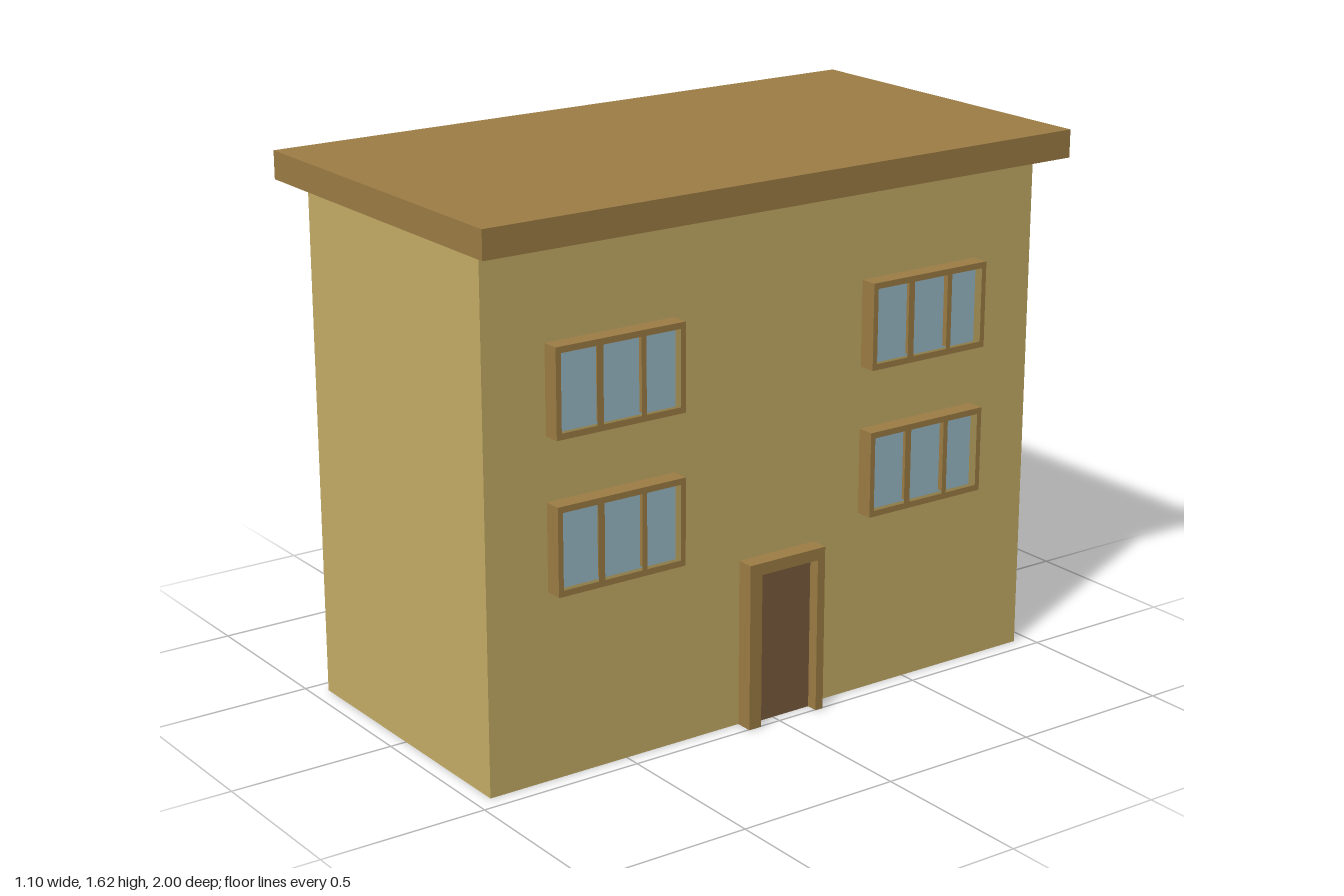
import * as THREE from 'three';

const mat = (name, color) => {
  const m = new THREE.MeshStandardMaterial({ color });
  m.name = name;
  return m;
};

export function createModel() {
  const wall = mat('sand wall', 0xc8b068);
  const trim = mat('brown trim', 0x9f7e45);
  const glass = mat('pale blue glass', 0x9bbdca);
  const wood = mat('dark door wood', 0x7b5c3d);

  const house = new THREE.Group();
  house.name = 'house';

  // box given by its limits on each axis
  const box = (parent, name, material, [x0, x1], [y0, y1], [z0, z1]) => {
    const mesh = new THREE.Mesh(new THREE.BoxGeometry(x1 - x0, y1 - y0, z1 - z0), material);
    mesh.position.set((x0 + x1) / 2, (y0 + y1) / 2, (z0 + z1) / 2);
    mesh.name = name;
    parent.add(mesh);
  };

  // frame standing out from a wall; the shape lies in (z, y), holes are [z0, z1, y0, y1]
  const WALL = 0.45, DEPTH = 0.053;
  const rect = (Type, z0, z1, y0, y1) => {
    const p = new Type();
    p.moveTo(-z0, y0).lineTo(-z1, y0).lineTo(-z1, y1).lineTo(-z0, y1).closePath();
    return p;
  };
  const frame = (parent, name, shape) => {
    const mesh = new THREE.Mesh(
      new THREE.ExtrudeGeometry(shape, { depth: DEPTH, bevelEnabled: false }), trim);
    mesh.rotation.y = Math.PI / 2;
    mesh.position.x = WALL;
    mesh.name = name;
    parent.add(mesh);
  };

  // body and flat overhanging roof
  box(house, 'walls', wall, [-0.45, 0.45], [0, 1.535], [-0.95, 0.95]);
  box(house, 'roof', trim, [-0.55, 0.55], [1.535, 1.618], [-1, 1]);

  // three-pane window, z0 and y0 being its lower corner
  const W = 0.418, H = 0.257;
  const panes = [[0.016, 0.129], [0.145, 0.268], [0.289, 0.402]];
  const addWindow = (parent, z0, y0) => {
    const win = new THREE.Group();
    win.name = 'window';
    const shape = rect(THREE.Shape, z0, z0 + W, y0, y0 + H);
    for (const [a, b] of panes) {
      shape.holes.push(rect(THREE.Path, z0 + a, z0 + b, y0 + 0.018, y0 + H - 0.018));
    }
    frame(win, 'windowFrame', shape);
    box(win, 'windowGlass', glass, [WALL + 0.009, WALL + 0.018],
      [y0 + 0.01, y0 + H - 0.01], [z0 + 0.01, z0 + W - 0.01]);
    parent.add(win);
  };

  // four windows on each long side
  for (const side of ['left', 'right']) {
    const facade = new THREE.Group();
    facade.name = side + 'Windows';
    for (const y of [0.555, 0.998]) {
      // the opposite side is turned round, so its z offsets swap
      for (const z of side === 'left' ? [0.336, -0.735] : [0.317, -0.754]) addWindow(facade, z, y);
    }
    if (side === 'right') facade.rotation.y = Math.PI;
    house.add(facade);
  }

  // doorway: an arch-less surround open at the ground
  const door = new THREE.Group();
  door.name = 'door';
  const surround = new THREE.Shape();
  [[-0.111, 0], [-0.069, 0], [-0.069, 0.466], [0.13, 0.466], [0.13, 0], [0.156, 0], [0.156, 0.502], [-0.111, 0.502]]
    .forEach(([x, y], i) => (i ? surround.lineTo(x, y) : surround.moveTo(x, y)));
  frame(door, 'doorFrame', surround);
  box(door, 'doorLeaf', wood, [WALL, WALL + 0.018], [0, 0.468], [-0.132, 0.071]);
  house.add(door);

  return house;
}
